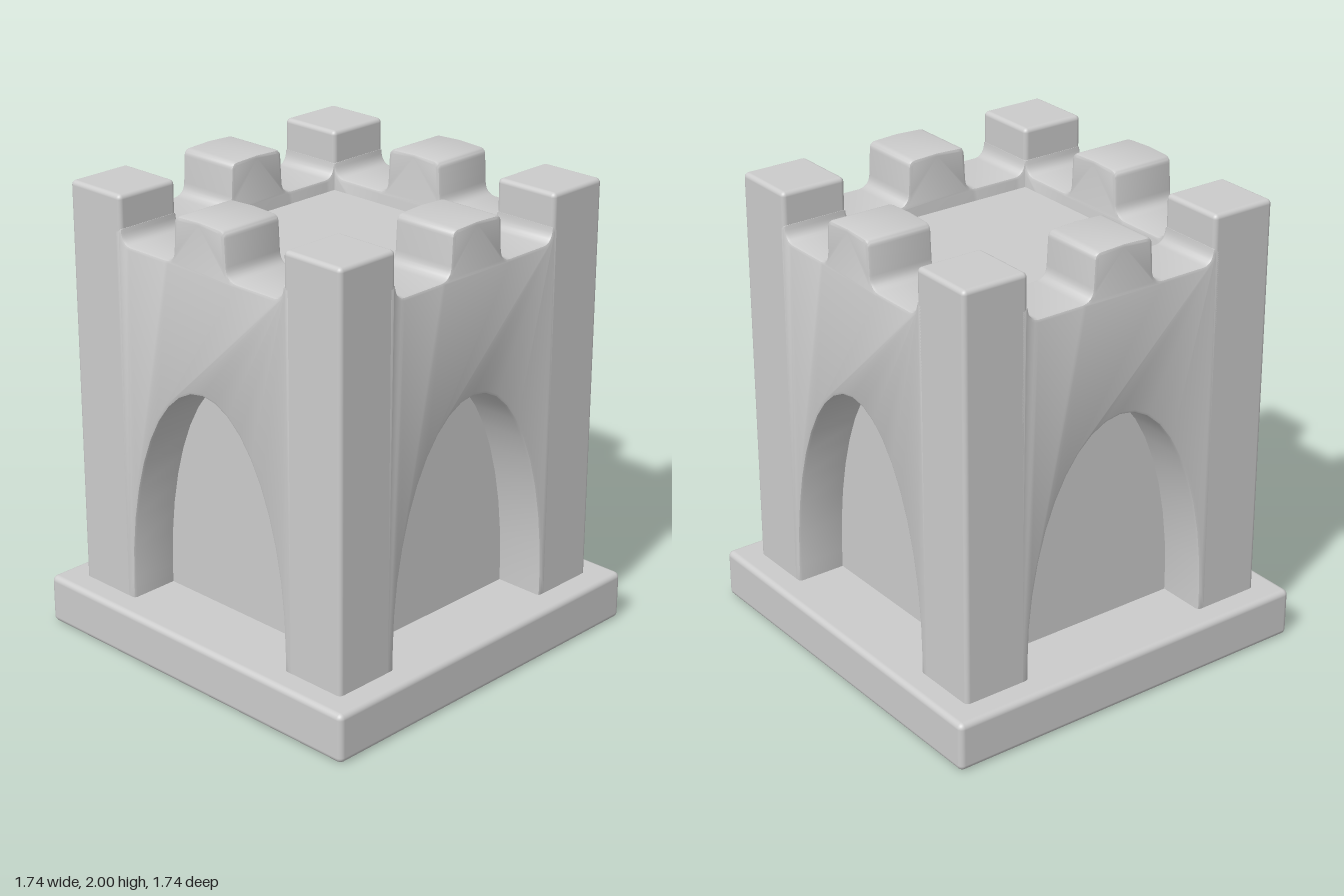
import * as THREE from 'three';
import { RoundedBoxGeometry } from 'three/addons/geometries/RoundedBoxGeometry.js';
import { toCreasedNormals } from 'three/addons/utils/BufferGeometryUtils.js';

const OUTER = 0.76, INNER = 0.46; // wall faces, measured from the tower axis
const THICK = OUTER - INNER;

// One half (x > 0) of the wall outline, from the arch crown round to the merlon top
function wallShape() {
  const arch = [];
  for (let i = 0; i <= 20; i++) {
    const a = (i / 20) * Math.PI;
    arch.push([-0.45 * Math.cos(a), 0.3 + 0.97 * Math.sin(a)]);
  }
  const s = new THREE.Shape();
  s.moveTo(-0.5, 0.18);
  s.lineTo(-0.45, 0.18);
  arch.forEach(([x, y]) => s.lineTo(x, y));
  s.lineTo(0.45, 0.18);
  s.lineTo(0.5, 0.18);
  // right notch with rounded lower corners
  s.lineTo(0.5, 1.86);
  s.lineTo(0.458, 1.86);
  s.quadraticCurveTo(0.455, 1.8, 0.41, 1.797);
  s.lineTo(0.2, 1.797);
  s.quadraticCurveTo(0.15, 1.8, 0.148, 1.85);
  // middle merlon
  s.lineTo(0.142, 1.965);
  s.quadraticCurveTo(0.14, 1.993, 0.11, 1.995);
  s.lineTo(0, 2);
  s.lineTo(-0.11, 1.995);
  s.quadraticCurveTo(-0.14, 1.993, -0.142, 1.965);
  // left notch
  s.lineTo(-0.148, 1.85);
  s.quadraticCurveTo(-0.15, 1.8, -0.2, 1.797);
  s.lineTo(-0.41, 1.797);
  s.quadraticCurveTo(-0.455, 1.8, -0.458, 1.86);
  s.lineTo(-0.5, 1.86);
  s.closePath();
  return s;
}

export function createModel() {
  const group = new THREE.Group();
  const material = new THREE.MeshStandardMaterial({ color: 0xcccccc });
  const add = (name, geometry, x = 0, y = 0, z = 0) => {
    const mesh = new THREE.Mesh(geometry, material);
    mesh.name = name;
    mesh.position.set(x, y, z);
    group.add(mesh);
    return mesh;
  };

  // Square plinth
  add('base', new RoundedBoxGeometry(1.74, 0.217, 1.74, 3, 0.025), 0, 0.1085, 0);

  // Core: back of the arched niches and floor of the roof
  add('core', new THREE.BoxGeometry(1.08, 1.54, 1.08), 0, 0.97, 0);

  // Four walls with niche, notches and middle merlon
  const bevel = 0.014;
  const wall = toCreasedNormals(new THREE.ExtrudeGeometry(wallShape(), {
    depth: THICK - 2 * bevel, curveSegments: 6,
    bevelEnabled: true, bevelSize: bevel, bevelThickness: bevel, bevelOffset: -bevel, bevelSegments: 2,
  }).translate(0, 0, INNER + bevel), 0.6);
  ['frontWall', 'leftWall', 'backWall', 'rightWall'].forEach((name, i) => {
    add(name, wall).rotation.y = i * Math.PI / 2;
  });

  // Corner posts rising into the corner merlons
  const post = new RoundedBoxGeometry(THICK, 1.83, THICK, 3, 0.02);
  const mid = (OUTER + INNER) / 2;
  for (const x of [-mid, mid]) for (const z of [-mid, mid]) add('cornerPost', post, x, 1.085, z);

  return group;
}
